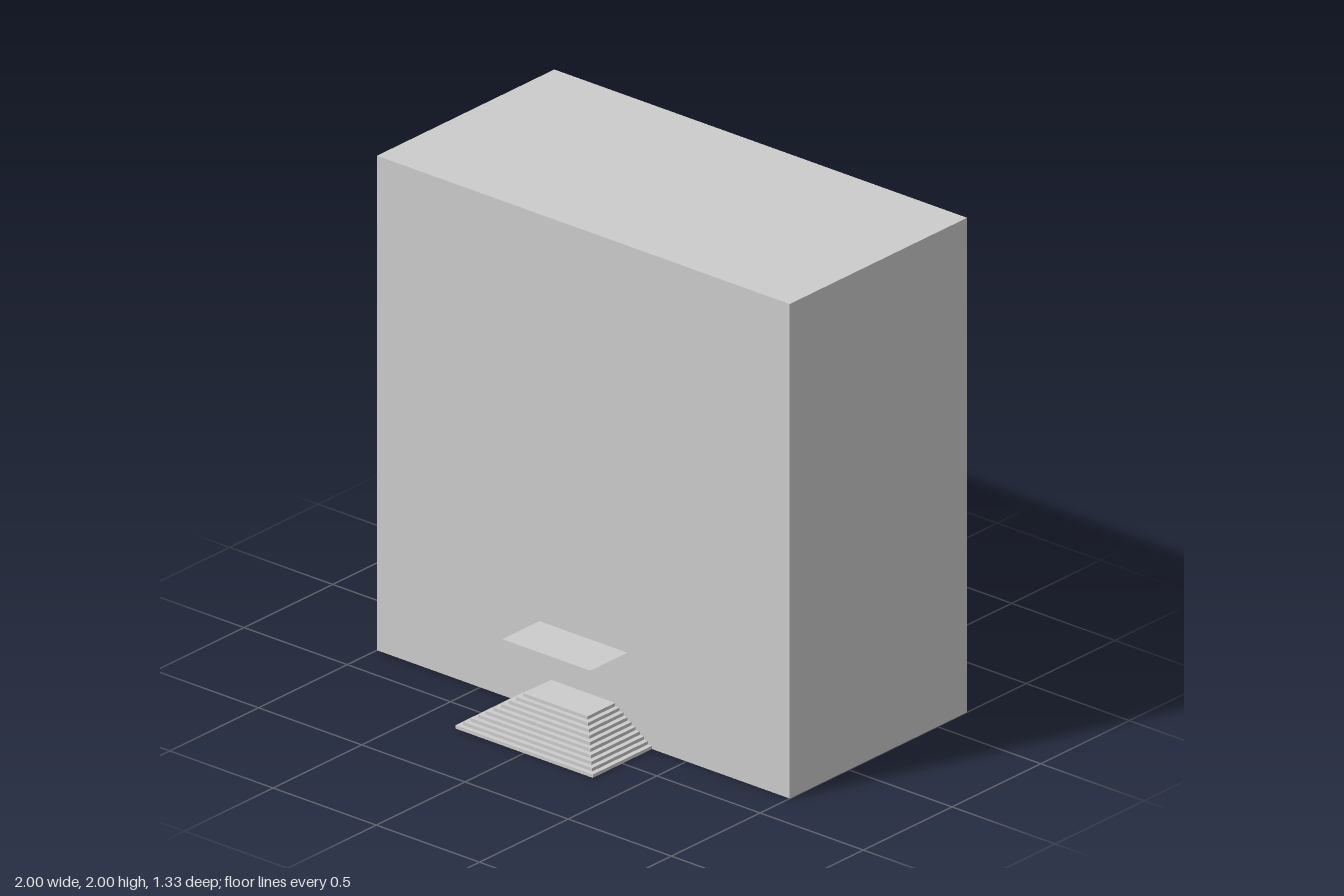
import * as THREE from 'three';

const material = new THREE.MeshStandardMaterial({ color: 0xcccccc, flatShading: true });
const WALL_Z = 0.333; // plane of the front wall

// Box standing on y, centred on x, spanning z0..z1
function block(name, width, height, y, z0, z1) {
  const mesh = new THREE.Mesh(new THREE.BoxGeometry(width, height, z1 - z0), material);
  mesh.name = name;
  mesh.position.set(0, y + height / 2, (z0 + z1) / 2);
  return mesh;
}

export function createModel() {
  const model = new THREE.Group();
  model.name = 'building';

  // Main block
  model.add(block('mainBlock', 2, 2, 0, -0.667, WALL_Z));

  // Entrance stairs, each step set in on three sides
  const stairs = new THREE.Group();
  stairs.name = 'entranceStairs';
  const count = 10, rise = 0.1335 / count, tread = 0.0198;
  for (let i = 0; i < count; i++) {
    const half = 0.333 - i * tread;
    stairs.add(block('step', half * 2, rise, i * rise, WALL_Z, 0.667 - i * tread));
  }
  model.add(stairs);

  // Canopy over the entrance, tapering towards its underside
  const canopy = block('canopy', 0.426, 0.034, 0.32, WALL_Z, 0.542);
  const p = canopy.geometry.attributes.position;
  for (let i = 0; i < p.count; i++) {
    if (p.getY(i) > 0) continue;
    p.setX(i, Math.sign(p.getX(i)) * 0.136);
    if (p.getZ(i) > 0) p.setZ(i, p.getZ(i) - 0.074);
  }
  canopy.geometry.computeVertexNormals();
  model.add(canopy);

  return model;
}
